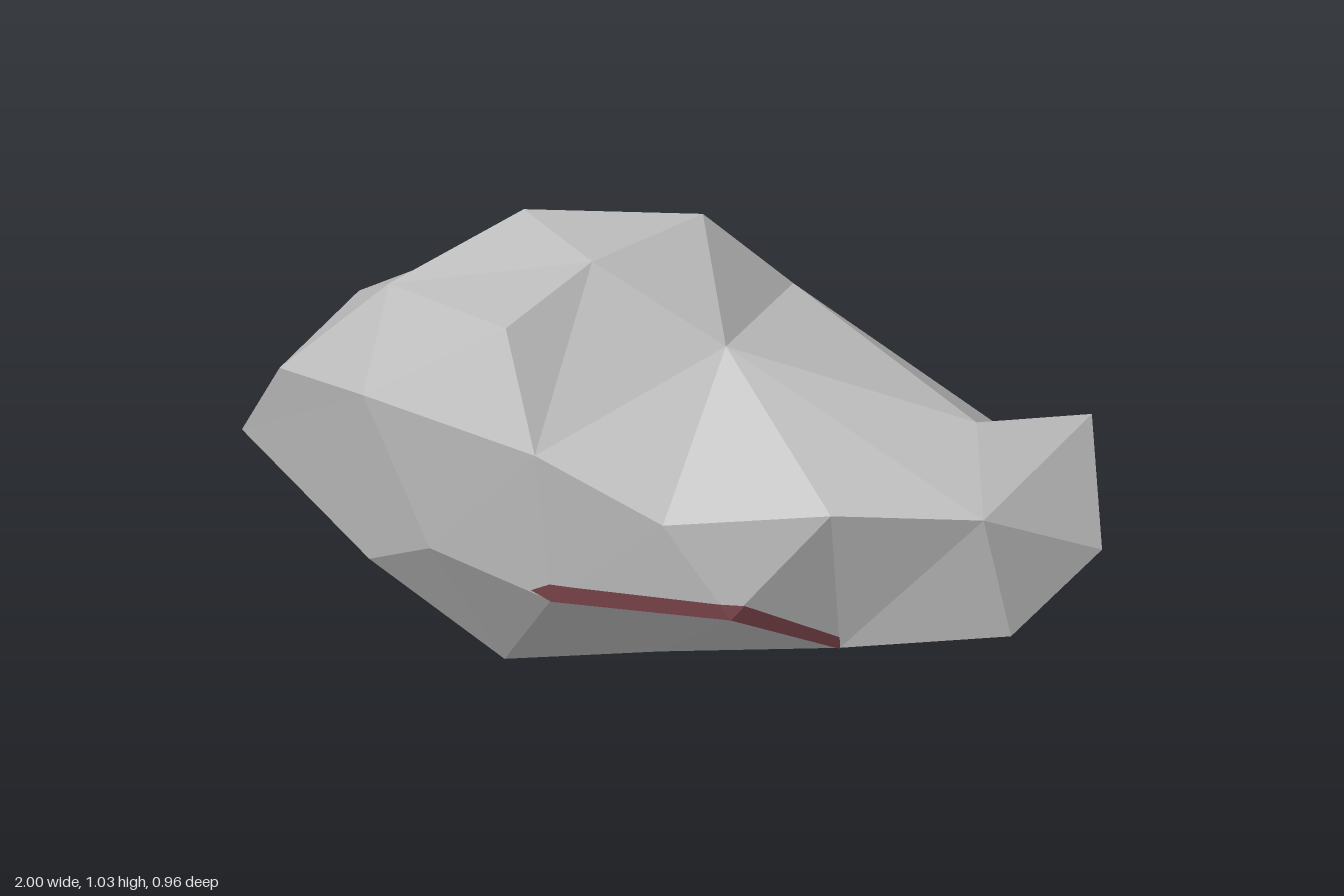
import * as THREE from 'three';

// Joins two loops with triangles: 'i' steps along the inner loop, 'o' along the outer one.
function zip(out, inner, outer, steps) {
  let i = 0, o = 0;
  for (const s of steps) {
    const a = inner[i % inner.length], b = outer[o % outer.length];
    const tri = s === 'i'
      ? [a, inner[++i % inner.length], b]
      : [a, outer[++o % outer.length], b];
    if (new Set(tri).size === 3) out.push(...tri);
  }
}

// Closes a loop around one peak point.
function fan(out, peak, loop) {
  loop.forEach((p, k) => out.push(peak, p, loop[(k + 1) % loop.length]));
}

function facetedMesh(name, points, material) {
  const geometry = new THREE.BufferGeometry().setFromPoints(points);
  geometry.computeVertexNormals();
  const mesh = new THREE.Mesh(geometry, material);
  mesh.name = name;
  return mesh;
}

const loopOf = (...rows) => rows.map((r) => new THREE.Vector3(...r));
const mix = (a, b, t) => a.clone().lerp(b, t);

export function createModel() {
  const stone = new THREE.MeshStandardMaterial({ color: 0xbdbdbd, flatShading: true });
  stone.name = 'grey stone';
  const red = new THREE.MeshStandardMaterial({ color: 0x7a444a, flatShading: true, side: THREE.DoubleSide });
  red.name = 'dark red';

  // Cross-sections from the -x tip to the +x end, each running top, front, bottom, back
  const [tip, crest] = loopOf([-1, 0.395, 0.03], [0.02, 1.02, -0.2]);
  const ring1 = loopOf(
    [-0.85, 0.66, 0.19], [-0.56, 0.765, 0.43], [-0.575, 0.305, 0.35],
    [-0.69, 0.34, -0.32], [-0.805, 0.67, -0.2]);
  const ring2 = loopOf(
    [-0.61, 0.89, 0.13], [-0.24, 0.965, 0.37], [-0.13, 0.715, 0.478], [-0.4, 0.405, 0.43],
    [-0.3, 0.035, 0.217], [-0.565, 0, -0.095], [-0.22, 0.06, -0.138],
    [-0.09, 0.38, -0.452], [0.07, 0.56, -0.472], [-0.495, 0.81, -0.32]);
  const ring3 = loopOf(
    [-0.365, 1.02, -0.08], [-0.125, 1.033, 0.123], [0.175, 0.845, 0.067], [0.168, 0.58, 0.453],
    [-0.1, 0.34, 0.455], [0.09, 0.15, 0.263], [-0.02, 0.028, -0.08],
    [0.235, 0.1, -0.24], [0.32, 0.445, -0.468], [-0.18, 0.718, -0.482]);
  const ring4 = loopOf(
    [0.175, 0.79, -0.365], [0.71, 0.663, -0.11], [0.815, 0.55, 0.125], [0.515, 0.594, 0.303],
    [0.32, 0.357, 0.427], [0.5, 0.207, 0.205], [0.51, 0.225, -0.368], [0.65, 0.508, -0.393]);
  const [hornTop, hornTip, hornLow, hornBase] = loopOf(
    [0.9, 0.604, -0.342], [1, 0.378, -0.14], [0.86, 0.236, 0.07], [0.725, 0.182, -0.097]);
  const [saddle, ridge, shoulder, brow, bend, lowEnd, , heel] = ring4;
  const ring5 = [ridge, shoulder, lowEnd, hornBase, heel];

  // Rock body
  const body = [];
  fan(body, tip, [...ring1].reverse());
  zip(body, ring1, ring2, 'ioooiooiooooioi');
  zip(body, ring2, ring3, 'oiioooiiooiioiiooioi');
  zip(body, ring3.slice(2), ring4, 'oooioiioiioioio');
  fan(body, crest, [ring3[0], ring3[1], ring3[2], saddle, ring3[9]]);
  zip(body, ring4, ring5, 'ioiioiioioiio');
  zip(body, ring5, [hornTop, hornTip, hornLow, hornTip], 'iooiiooii');

  // Thin red band lying on the front facets just above the lower edge
  const start = ring3[4], front = ring3[3], cheek = ring2[2];
  const bandEnd = mix(mix(start, ring2[3], 0.17), cheek, 0.02);
  const band = [];
  zip(band,
    [bandEnd, start, bend, lowEnd],
    [mix(start, cheek, 0.12), mix(start, front, 0.19), mix(bend, front, 0.17),
      mix(bend, brow, 0.14), mix(lowEnd, brow, 0.09)],
    'iooiooi');
  const bandMesh = facetedMesh('redBand', band, red);
  bandMesh.position.set(0.003, 0, 0.005);

  const group = new THREE.Group();
  group.name = 'rock';
  group.add(facetedMesh('rockBody', body, stone), bandMesh);
  return group;
}
